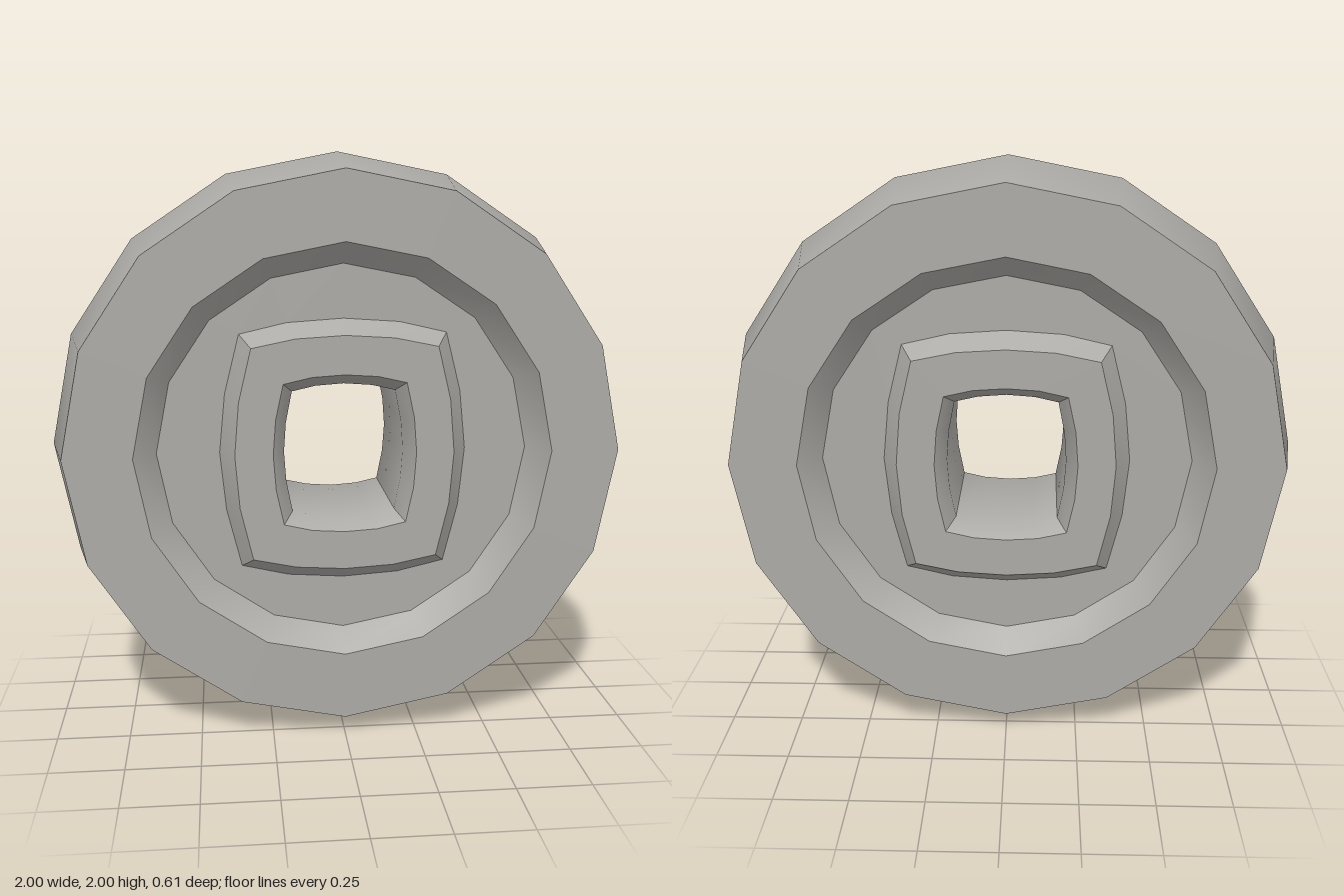
import * as THREE from 'three';
import { toCreasedNormals } from 'three/addons/utils/BufferGeometryUtils.js';

const SIDES = 16;

// Regular ring of points at depth z
function ring(r, z) {
  return Array.from({ length: SIDES }, (_, i) => {
    const a = (i / SIDES) * Math.PI * 2;
    return [r * Math.cos(a), r * Math.sin(a), z];
  });
}

// Bulged square ring: five points of one quarter, mirrored round to sixteen
function bulgedSquare(q, z) {
  const half = [...q, ...q.slice(0, 4).reverse().map(([x, y]) => [-x, y])];
  const full = [...half, ...half.slice(1, 8).reverse().map(([x, y]) => [x, -y])];
  return full.map(([x, y]) => [x, y, z]);
}

const flip = (loop) => loop.map(([x, y, z]) => [x, y, -z]);

// Skin a series of loops, keeping the hard edges sharp
function loft(loops) {
  const index = [];
  for (let i = 0; i < loops.length - 1; i++) {
    for (let j = 0; j < SIDES; j++) {
      const k = (j + 1) % SIDES;
      const a = i * SIDES + j, b = i * SIDES + k;
      const c = b + SIDES, d = a + SIDES;
      index.push(a, b, c, a, c, d);
    }
  }
  const geo = new THREE.BufferGeometry();
  geo.setAttribute('position', new THREE.Float32BufferAttribute(loops.flat(2), 3));
  geo.setIndex(index);
  return toCreasedNormals(geo, 0.65);
}

export function createModel() {
  const group = new THREE.Group();
  group.name = 'wheel';
  const grey = new THREE.MeshStandardMaterial({ color: 0xacaaa6 });
  grey.name = 'grey';

  const add = (name, loops) => {
    const mesh = new THREE.Mesh(loft(loops), grey);
    mesh.name = name;
    mesh.position.y = 1;
    group.add(mesh);
  };

  // Cross-section loops of the front half
  const faceZ = 0.305, floorZ = 0.22, hubZ = 0.29;
  const tread = ring(1, 0);
  const shoulder = ring(0.937, faceZ);
  const lip = ring(0.705, faceZ);
  const floor = ring(0.632, floorZ);
  const hubBase = bulgedSquare([[0.42, 0], [0.4, 0.2], [0.35, 0.4], [0.19, 0.437], [0, 0.45]], floorZ);
  const hubTop = bulgedSquare([[0.37, 0], [0.355, 0.18], [0.312, 0.36], [0.165, 0.39], [0, 0.4]], hubZ);
  const holeEdge = bulgedSquare([[0.242, 0], [0.233, 0.12], [0.207, 0.24], [0.11, 0.262], [0, 0.269]], hubZ);
  const bore = bulgedSquare([[0.203, 0], [0.196, 0.1], [0.175, 0.207], [0.095, 0.225], [0, 0.232]], 0.23);

  // Rim with peaked tread, flat sides and sloped inner walls
  add('rim', [flip(floor), flip(lip), flip(shoulder), tread, shoulder, lip, floor]);

  // Recessed discs on both sides
  add('frontDisc', [floor, hubBase]);
  add('backDisc', [flip(hubBase), flip(floor)]);

  // Raised hub with the axle hole through it
  add('hub', [hubBase, hubTop, holeEdge, bore, flip(bore), flip(holeEdge), flip(hubTop), flip(hubBase)]);

  return group;
}
